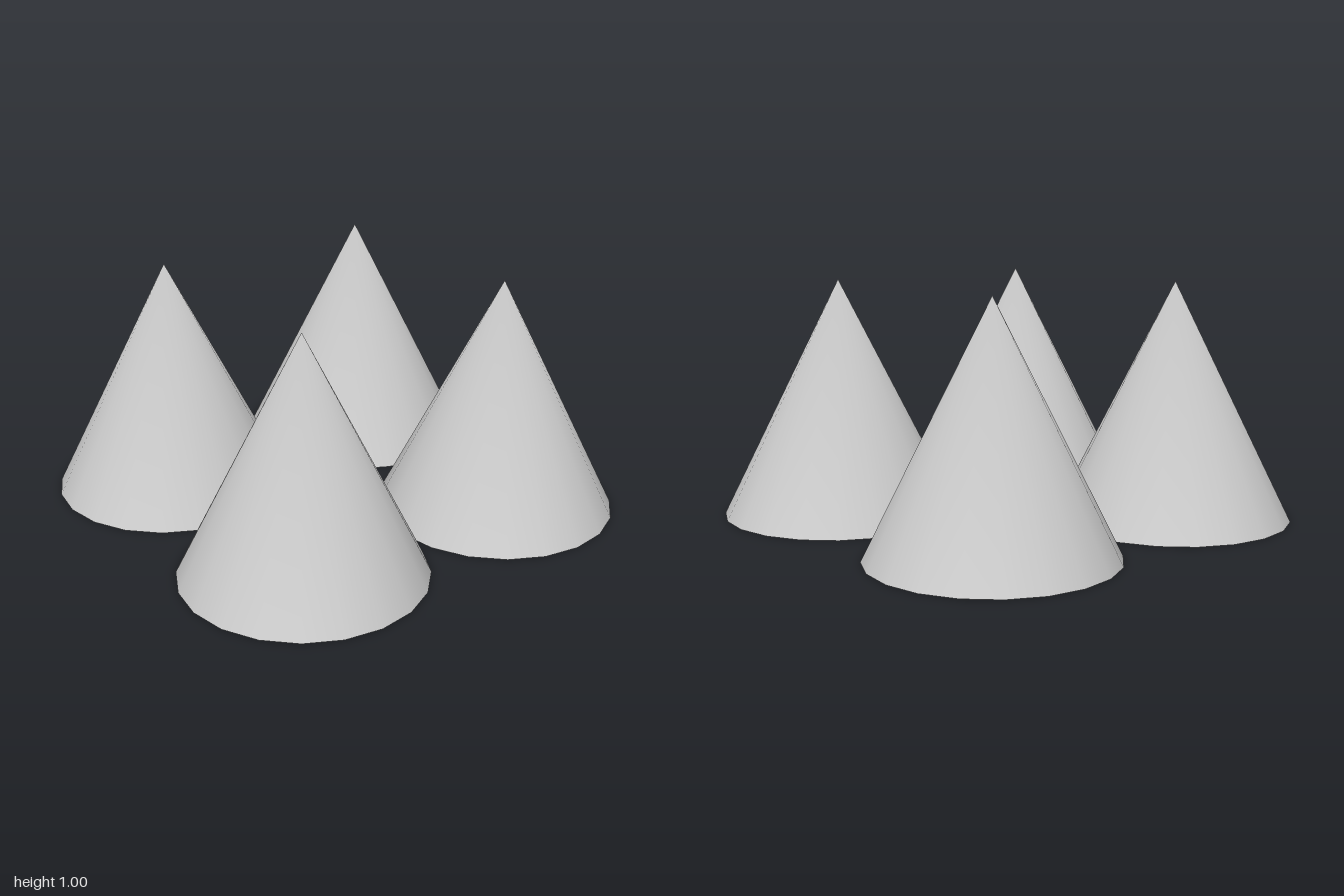
import * as THREE from 'three';
import { mergeVertices } from 'three/addons/utils/BufferGeometryUtils.js';

const RADIUS = 0.5, HEIGHT = 1, SIDES = 20;

// Open cone with one shared apex vertex, so shading blends smoothly over the tip
function coneSide() {
  const geometry = new THREE.ConeGeometry(RADIUS, HEIGHT, SIDES, 1, true);
  geometry.deleteAttribute('normal');
  geometry.deleteAttribute('uv');
  const smooth = mergeVertices(geometry, 1e-4);
  smooth.computeVertexNormals();
  return smooth.translate(0, HEIGHT / 2, 0);
}

export function createModel() {
  const model = new THREE.Group();
  model.name = 'fourCones';
  const material = new THREE.MeshStandardMaterial({ color: 0xcccccc });
  const sideGeometry = coneSide();
  // Flat base facing down
  const baseGeometry = new THREE.CircleGeometry(RADIUS, SIDES).rotateX(Math.PI / 2);

  // Two by two grid of touching cones
  for (const [x, xName] of [[-0.5, 'Right'], [0.5, 'Left']]) {
    for (const [z, zName] of [[-0.5, 'back'], [0.5, 'front']]) {
      const cone = new THREE.Group();
      cone.name = `${zName}${xName}Cone`;
      const side = new THREE.Mesh(sideGeometry, material);
      side.name = 'coneSide';
      const base = new THREE.Mesh(baseGeometry, material);
      base.name = 'coneBase';
      cone.add(side, base);
      cone.position.set(x, 0, z);
      model.add(cone);
    }
  }
  return model;
}
